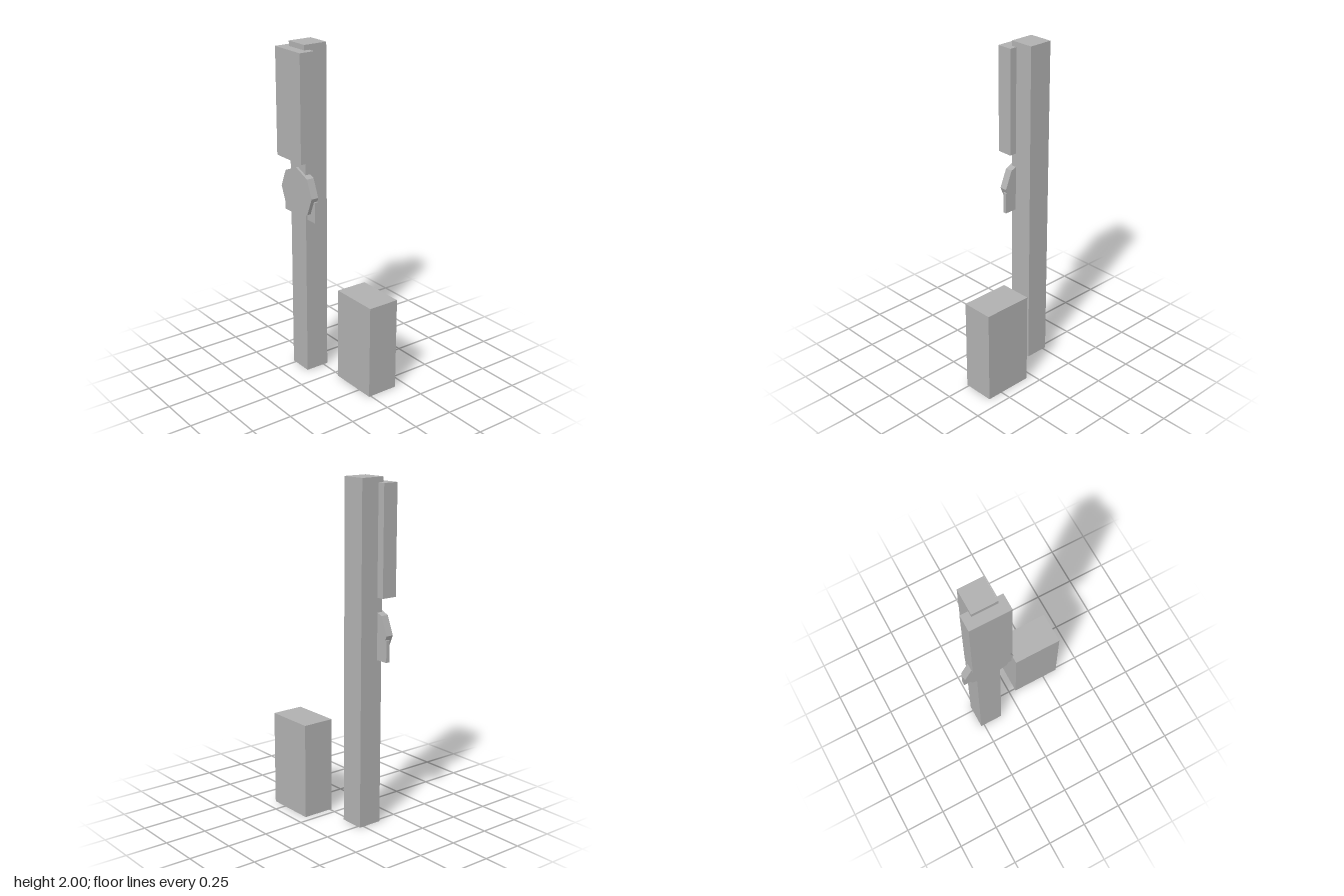
import * as THREE from 'three';

export function createModel() {
  const model = new THREE.Group();
  model.name = 'signalPostWithCabinet';
  const grey = new THREE.MeshStandardMaterial({ color: 0xb0b0b0, flatShading: true });
  grey.name = 'plain grey';

  // Adds a box given its extents along each axis
  function addBox(name, [x0, x1], [y0, y1], [z0, z1]) {
    const mesh = new THREE.Mesh(new THREE.BoxGeometry(x1 - x0, y1 - y0, z1 - z0), grey);
    mesh.position.set((x0 + x1) / 2, (y0 + y1) / 2, (z0 + z1) / 2);
    mesh.name = name;
    model.add(mesh);
  }

  // Tall square post and the housing on its front
  addBox('post', [-0.271, -0.123], [0, 2], [-0.028, 0.12]);
  addBox('upperHousing', [-0.317, -0.078], [1.34, 1.97], [0.086, 0.181]);

  // Octagonal disc with a shallower bracket plate behind its lower half
  const disc = new THREE.Mesh(new THREE.CylinderGeometry(0.152, 0.152, 0.046, 8), grey);
  disc.rotation.x = Math.PI / 2;
  disc.position.set(-0.197, 1.134, 0.111);
  disc.name = 'octagonalDisc';
  model.add(disc);
  addBox('bracketPlate', [-0.349, -0.045], [0.983, 1.11], [0.088, 0.111]);

  // Separate cabinet on the ground
  addBox('groundCabinet', [0.043, 0.347], [0, 0.568], [-0.182, 0.013]);

  return model;
}
